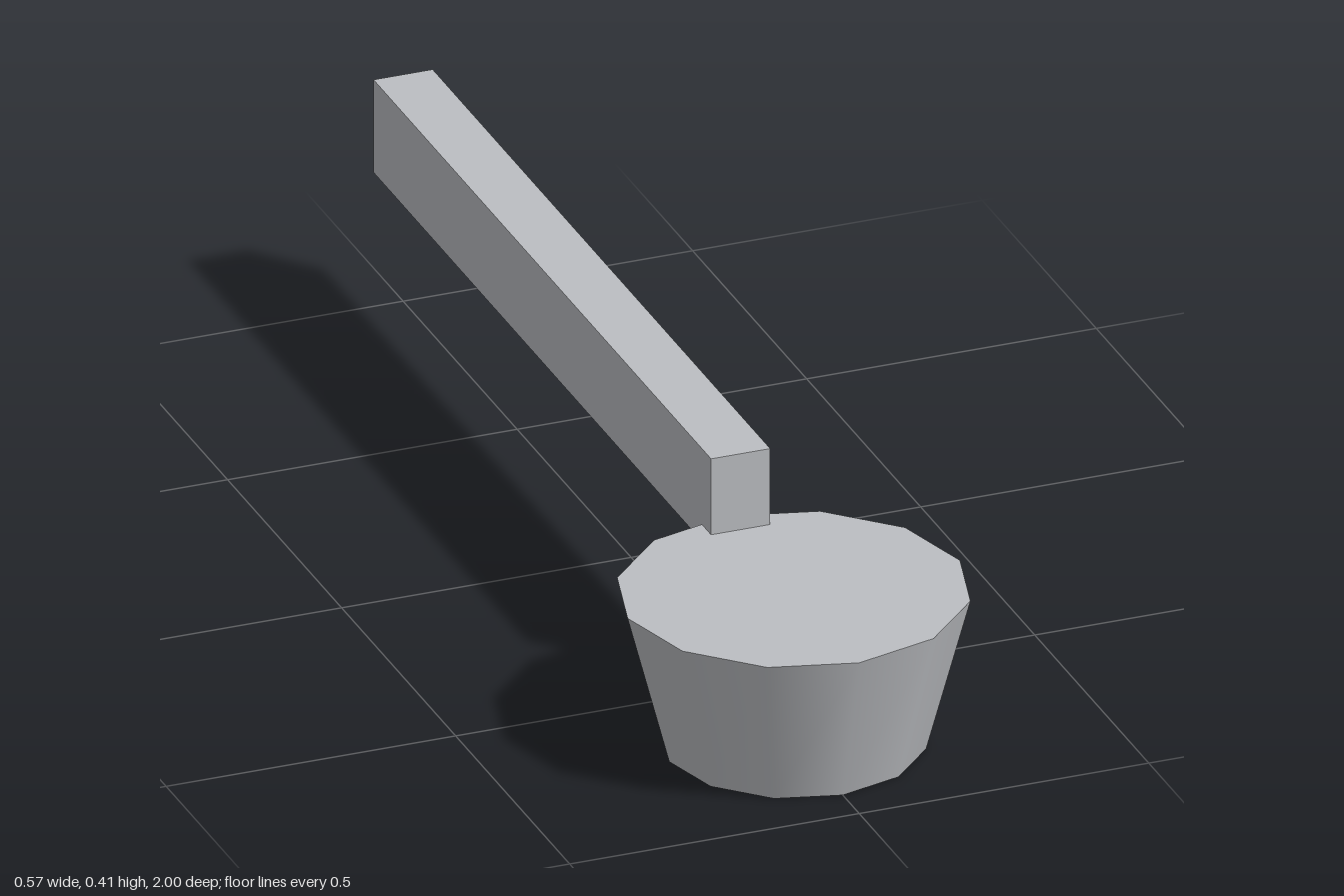
import * as THREE from 'three';

export function createModel() {
  const group = new THREE.Group();
  const metal = new THREE.MeshStandardMaterial({ name: 'grey metal', color: 0xbcbec2 });

  const add = (name, geometry, x, y, z) => {
    const mesh = new THREE.Mesh(geometry, metal);
    mesh.name = name;
    mesh.position.set(x, y, z);
    group.add(mesh);
  };

  // Closed, tapered twelve-sided bowl with smooth sides
  const bowlHeight = 0.27;
  add('bowl', new THREE.CylinderGeometry(0.287, 0.215, bowlHeight, 12), 0, bowlHeight / 2, 0.713);

  // Long straight handle overlapping the rear rim
  const back = -1, front = 0.48, bottom = 0.24, top = 0.406;
  add('handle', new THREE.BoxGeometry(0.102, top - bottom, front - back),
    0, (top + bottom) / 2, (front + back) / 2);

  return group;
}
